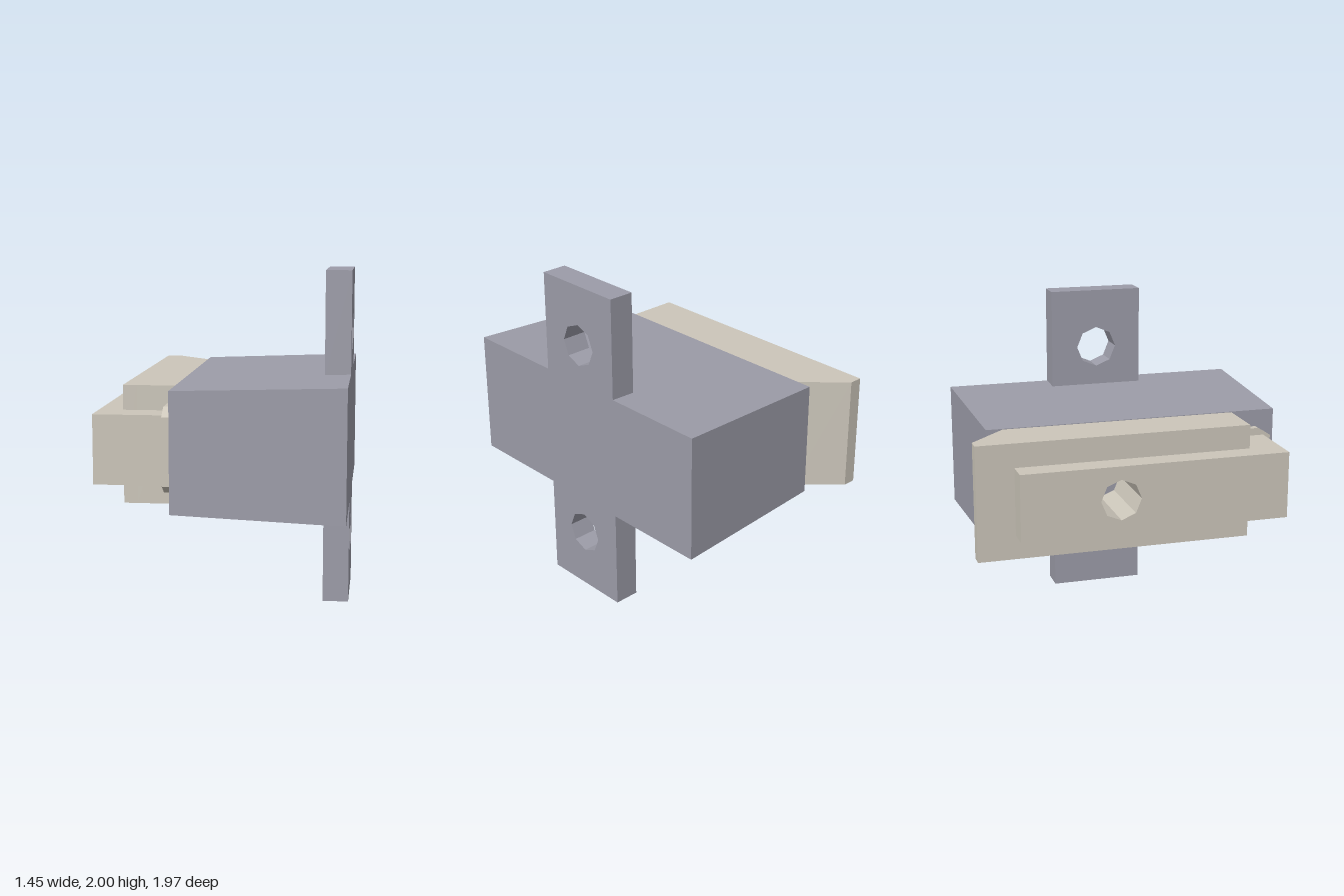
import * as THREE from 'three';

const bodyMat = new THREE.MeshStandardMaterial({ color: 0x9c9ca8, flatShading: true });
const boltMat = new THREE.MeshStandardMaterial({ color: 0xccc6ba, flatShading: true });

// Slab spanning x0..x1 from a (z, y) outline, with optional eight-sided holes [z, y, r].
function slab(name, mat, outline, x0, x1, holes = [], move) {
  const shape = new THREE.Shape(outline.map(([z, y]) => new THREE.Vector2(-z, y)));
  for (const [z, y, r] of holes) {
    const ring = [];
    for (let i = 0; i < 8; i++) {
      const a = (i * Math.PI) / 4;
      ring.push(new THREE.Vector2(-z + r * Math.cos(a), y + r * Math.sin(a)));
    }
    shape.holes.push(new THREE.Path(ring));
  }
  const geo = new THREE.ExtrudeGeometry(shape, { depth: x1 - x0, bevelEnabled: false });
  geo.rotateY(Math.PI / 2).translate(x0, 0, 0);
  if (move) {
    const p = geo.attributes.position;
    const v = new THREE.Vector3();
    for (let i = 0; i < p.count; i++) {
      move(v.fromBufferAttribute(p, i));
      p.setXYZ(i, v.x, v.y, v.z);
    }
    geo.computeVertexNormals();
  }
  const mesh = new THREE.Mesh(geo, mat);
  mesh.name = name;
  return mesh;
}

const rect = (z0, z1, y0, y1) => [[z0, y0], [z1, y0], [z1, y1], [z0, y1]];

export function createModel() {
  const group = new THREE.Group();
  group.name = 'doorLatch';

  // Housing, tapering toward the bolt side
  group.add(slab('housing', bodyMat, rect(-0.895, 0.98, 0.617, 1.387), -0.275, 0.72, [], (v) => {
    if (v.x < 0) {
      v.y += v.y > 1 ? -0.033 : 0.033;
      v.z += v.z > 0 ? -0.035 : 0.035;
    }
  }));

  // Mounting tabs with screw holes
  group.add(slab('upperTab', bodyMat, rect(-0.25, 0.335, 1.375, 2), 0.565, 0.72, [[0.045, 1.63, 0.128]]));
  group.add(slab('lowerTab', bodyMat, rect(-0.25, 0.335, 0, 0.629), 0.565, 0.72, [[0.045, 0.374, 0.128]]));

  // Latch block: straight outer layer and chamfered inner layer
  const bore = [-0.167, 1.003, 0.122];
  const block = rect(-0.985, 0.67, 0.655, 1.35);
  group.add(slab('latchOuter', boltMat, block, -0.585, -0.505, [bore]));
  group.add(slab('latchInner', boltMat, block, -0.505, -0.275, [bore], (v) => {
    if (v.x > -0.3 && v.z < -0.9) v.z = -0.76;
  }));

  // Slide bar with a bore through it
  group.add(slab('slideBar', boltMat, rect(-0.76, 0.865, 0.8, 1.205), -0.725, -0.322, [bore]));

  // Thin guide plate with bevelled corners beside the housing
  group.add(slab('guidePlate', boltMat, [
    [0.6, 0.755], [0.83, 0.755], [0.91, 0.805], [0.91, 1.2], [0.83, 1.25], [0.6, 1.25],
  ], -0.322, -0.27));

  return group;
}
